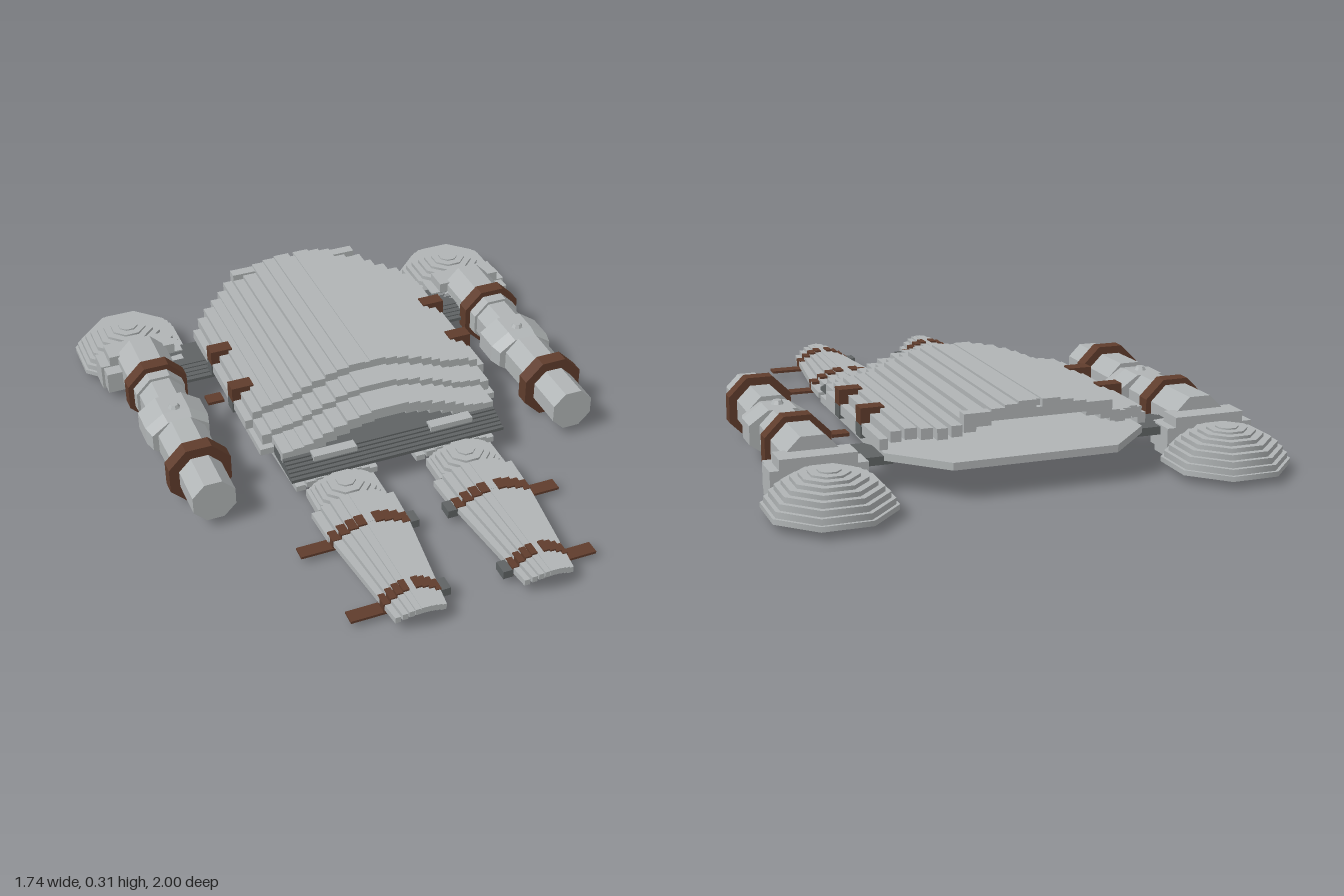
import * as THREE from 'three';

const material = (name, color) => {
  const m = new THREE.MeshStandardMaterial({ color });
  m.name = name;
  return m;
};

export function createModel() {
  const model = new THREE.Group();
  model.name = 'armourSuit';
  const steel = material('steel', 0xb0b4b5);
  const leather = material('leather', 0x5f3c2c);
  const iron = material('darkIron', 0x5f6364);

  const add = (parent, name, geo, mat) => {
    const m = new THREE.Mesh(geo, mat);
    m.name = name;
    parent.add(m);
    return m;
  };
  const group = (name) => {
    const g = new THREE.Group();
    g.name = name;
    model.add(g);
    return g;
  };
  const box = (x0, x1, y0, y1, z0, z1) => new THREE.BoxGeometry(x1 - x0, y1 - y0, z1 - z0)
    .translate((x0 + x1) / 2, (y0 + y1) / 2, (z0 + z1) / 2);
  const plate = (parent, name, mat, ...b) => add(parent, name, box(...b), mat);
  // plate on both sides of x = 0
  const pair = (parent, name, mat, x0, x1, ...b) => {
    plate(parent, name, mat, x0, x1, ...b);
    plate(parent, name, mat, -x1, -x0, ...b);
  };
  // octagonal bar along z; r is the distance to a flat side
  const bar = (r0, r1, z0, z1, x, y) => new THREE.CylinderGeometry(r1 / 0.924, r0 / 0.924, z1 - z0, 8)
    .rotateY(Math.PI / 8).rotateX(Math.PI / 2).toNonIndexed().translate(x, y, (z0 + z1) / 2);
  // stepped octagonal dome, rings are [radius, top height]
  const dome = (parent, name, x, z, base, rings) => rings.forEach(([r, top]) =>
    add(parent, name, new THREE.CylinderGeometry(r / 0.924, r / 0.924, top - base, 8)
      .rotateY(Math.PI / 8).translate(x, (top + base) / 2, z), steel));

  // breastplate: long strips stepped into an arch, clipped at the shoulders
  const chest = group('breastplate');
  const rear = (x) => -0.82 + Math.max(0, x - 0.27) * 0.95;
  const strips = [
    [0.01, 0.07, 0.31], [0.07, 0.115, 0.302], [0.115, 0.16, 0.293], [0.16, 0.21, 0.277],
    [0.21, 0.25, 0.262], [0.25, 0.285, 0.247], [0.285, 0.32, 0.232], [0.32, 0.36, 0.226],
    [0.36, 0.40, 0.22], [0.40, 0.435, 0.205], [0.435, 0.463, 0.175]];
  plate(chest, 'centreRidge', steel, -0.01, 0.01, 0.28, 0.306, -0.8, -0.02);
  strips.forEach(([x0, x1, y]) => pair(chest, 'chestStrip', steel, x0, x1, y - 0.036, y, rear(x1), -0.02));
  plate(chest, 'collarEdge', steel, -0.25, 0.25, 0.255, 0.285, -0.82, -0.78);

  // abdomen: two lower arches in front of the breastplate
  const belly = group('abdomen');
  strips.forEach(([x0, x1, y]) => {
    if (x1 < 0.44) pair(belly, 'upperLame', steel, x0 - 0.01, x1, y - 0.07, y - 0.03, -0.03, 0.08);
    if (x1 < 0.41) pair(belly, 'lowerLame', steel, x0 - 0.01, x1, y - 0.095, y - 0.055, 0.07, 0.19);
  });

  // flat octagonal backplate
  const outline = new THREE.Shape([[-0.45, -0.1], [0.45, -0.1], [0.45, 0.64], [0.28, 0.81], [-0.28, 0.81], [-0.45, 0.64]]
    .map(([x, y]) => new THREE.Vector2(x, y)));
  add(model, 'backplate', new THREE.ExtrudeGeometry(outline, { depth: 0.025, bevelEnabled: false })
    .rotateX(-Math.PI / 2).translate(0, 0.105, 0), steel);

  // skirt of narrow dark lames
  const skirt = group('skirt');
  for (let i = 0; i < 6; i++) {
    plate(skirt, 'skirtLame', iron, -0.4, 0.4, 0.10, 0.142 - i * 0.006, 0.1 + i * 0.015, 0.205 + i * 0.015);
  }
  pair(skirt, 'skirtPlate', steel, 0.14, 0.3, 0.13, 0.15, 0.19, 0.23);

  // side straps and buckles of the torso
  const straps = group('torsoStraps');
  for (const z of [-0.42, -0.175]) {
    pair(straps, 'strap', leather, 0.385, 0.467, 0.17, 0.226, z - 0.026, z + 0.026);
    pair(straps, 'buckle', iron, 0.435, 0.468, 0.125, 0.17, z - 0.026, z + 0.026);
  }
  pair(straps, 'strapTail', leather, 0.465, 0.525, 0.095, 0.106, -0.312, -0.262);

  // stepped arch of strips along z, tapering from half width w0 to w1
  const arch = (parent, name, x, w0, w1, z0, z1, top, drop) => {
    const n = 9;
    for (let i = 0; i < n; i++) {
      const t = (i + 0.5) / n * 2 - 1;
      const y = top - drop * t * t;
      const end = z1 - 0.03 * t * t;
      const g = box(t - 1 / n, t + 1 / n, y - 0.022, y, z0, end);
      const p = g.attributes.position;
      for (let k = 0; k < p.count; k++) {
        const w = w0 + (w1 - w0) * (p.getZ(k) - z0) / (z1 - z0);
        p.setX(k, x + p.getX(k) * w);
      }
      g.computeVertexNormals();
      add(parent, name, g, steel);
    }
  };

  for (const s of [1, -1]) {
    const side = s > 0 ? 'left' : 'right';
    const X = (x0, x1) => (s > 0 ? [x0, x1] : [-x1, -x0]);

    // leg: thigh plate, knee cap, greave
    const leg = group(side + 'Leg');
    const lx = 0.225 * s;
    arch(leg, 'thighPlate', lx, 0.17, 0.15, -0.3, 0.28, 0.1, 0.05);
    dome(leg, 'kneeCap', lx, 0.335, 0.028,
      [[0.125, 0.05], [0.112, 0.068], [0.098, 0.083], [0.08, 0.095], [0.06, 0.104], [0.032, 0.11]]);
    plate(leg, 'kneeBand', steel, lx - 0.125, lx + 0.125, 0.03, 0.06, 0.28, 0.4);
    arch(leg, 'greave', lx, 0.15, 0.142, 0.4, 0.56, 0.1, 0.055);
    arch(leg, 'greave', lx, 0.142, 0.085, 0.53, 1.0, 0.099, 0.045);

    // leg straps follow the greave, with a loose outer tail
    [[0.545, 0.14, 0.475], [0.885, 0.1, 0.435]].forEach(([z, w, tail]) => {
      for (let i = 0; i < 9; i++) {
        if (i === 4) continue;
        const t = (i + 0.5) / 9 * 2 - 1;
        const y = 0.106 - 0.05 * t * t;
        plate(leg, 'legStrap', leather, lx + (t - 1 / 9) * w, lx + (t + 1 / 9) * w, y - 0.03, y, z - 0.025, z + 0.025);
      }
      plate(leg, 'strapTail', leather, ...X(0.225 + w - 0.02, tail), 0.024, 0.033, z - 0.025, z + 0.025);
      plate(leg, 'legBuckle', iron, ...X(0.225 - w - 0.032, 0.225 - w + 0.005), 0.03, 0.06, z - 0.027, z + 0.027);
    });

    // arm: octagonal tubes, elbow, cuff and shoulder dome
    const arm = group(side + 'Arm');
    const ax = 0.675 * s;
    const ay = 0.112;
    [['forearm', 0.075, 0.075, 0.06, 0.28], ['forearmSleeve', 0.085, 0.082, -0.09, 0.1],
      ['elbow', 0.1, 0.11, -0.25, -0.21], ['elbow', 0.11, 0.11, -0.21, -0.15], ['elbow', 0.11, 0.09, -0.15, -0.1],
      ['upperArm', 0.08, 0.08, -0.36, -0.24], ['upperArmSleeve', 0.093, 0.09, -0.62, -0.35]]
      .forEach(([name, r0, r1, z0, z1]) => {
        // kept above the floor line of the plates
        const g = bar(Math.min(r0, 0.1), Math.min(r1, 0.1), z0, z1, ax, ay);
        if (name === 'elbow') g.translate(-ax, -ay, 0).scale(1.15, 0.8, 1).translate(ax, ay, 0);
        g.computeVertexNormals();
        add(arm, name, g, steel);
      });
    add(arm, 'elbowPoint', new THREE.CylinderGeometry(0.015, 0.065, 0.09, 8).toNonIndexed()
      .translate(ax, 0.16, -0.175), steel).geometry.computeVertexNormals();
    for (const z of [-0.418, 0.1]) {
      const g = bar(0.11, 0.11, z - 0.026, z + 0.026, ax, 0.112);
      g.computeVertexNormals();
      add(arm, 'armStrap', g, leather);
    }
    plate(arm, 'shoulderCuff', steel, ax - 0.16, ax + 0.155, 0.028, 0.125, -0.69, -0.6);
    plate(arm, 'shoulderCuffTop', steel, ax - 0.125, ax + 0.125, 0.1, 0.16, -0.69, -0.6);
    plate(arm, 'shoulderCuffFront', steel, ax - 0.15, ax + 0.145, 0.04, 0.12, -0.61, -0.55);
    dome(arm, 'shoulderDome', ax, -0.804, 0.028,
      [[0.196, 0.045], [0.186, 0.065], [0.172, 0.085], [0.156, 0.103], [0.136, 0.118],
        [0.112, 0.131], [0.088, 0.141], [0.062, 0.148], [0.035, 0.153]]);

    // dark layered link between torso and arm
    for (let i = 0; i < 5; i++) {
      plate(arm, 'shoulderLink', iron, ...X(0.42, 0.58), 0.092, 0.12 - i * 0.004, -0.64 + i * 0.02, -0.51 + i * 0.02);
    }
  }
  return model;
}
